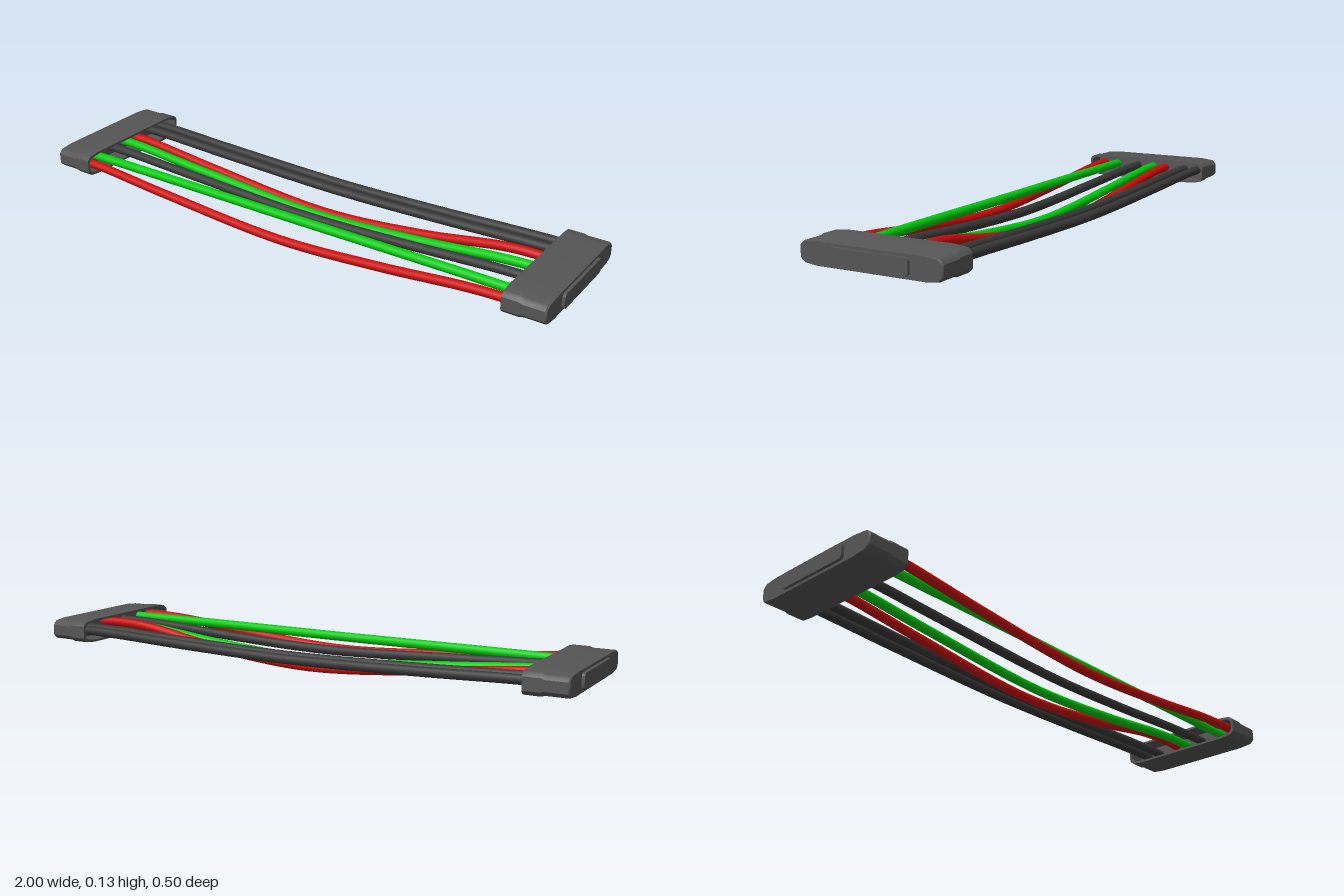
import * as THREE from 'three';
import { toCreasedNormals } from 'three/addons/utils/BufferGeometryUtils.js';

const paint = (color) => new THREE.MeshStandardMaterial({ color });
const GREY = paint(0x555555), BLACK = paint(0x383838), RED = paint(0xcc0c0c), GREEN = paint(0x00cc0c);
const MID_Y = 0.09;

// One corner of the connector outline as [half height, half width]
const corner = [[0.042, 0.19], [0.037, 0.235], [0.03, 0.244], [0.022, 0.25]];
const outline = [
  ...corner,
  ...[...corner].reverse().map(([y, z]) => [-y, z]),
  ...corner.map(([y, z]) => [-y, -z]),
  ...[...corner].reverse().map(([y, z]) => [y, -z]),
];

// Skin a closed shell through rings of [x, height inset, width inset]; null closes an end
function shellGeometry(rings) {
  const pts = rings.map(([x, dy, dz, closed]) => outline.map(([y, z]) => closed
    ? [x, 0, 0]
    : [x, y - Math.sign(y) * dy, z - Math.sign(z) * dz]));
  const pos = [];
  for (let i = 0; i < pts.length - 1; i++) {
    for (let j = 0; j < outline.length; j++) {
      const k = (j + 1) % outline.length;
      const [a, b, c, d] = [pts[i][j], pts[i + 1][j], pts[i + 1][k], pts[i][k]];
      if (!rings[i + 1][3]) pos.push(...a, ...b, ...c);
      if (!rings[i][3]) pos.push(...a, ...c, ...d);
    }
  }
  const geo = new THREE.BufferGeometry();
  geo.setAttribute('position', new THREE.Float32BufferAttribute(pos, 3));
  return toCreasedNormals(geo, 0.6);
}

// Raised plate with rounded corners on the connector's outer end
function plateGeometry(w, h, r, depth) {
  const s = new THREE.Shape();
  s.moveTo(-w + r, -h);
  s.lineTo(w - r, -h);
  s.quadraticCurveTo(w, -h, w, -h + r);
  s.lineTo(w, h - r);
  s.quadraticCurveTo(w, h, w - r, h);
  s.lineTo(-w + r, h);
  s.quadraticCurveTo(-w, h, -w, h - r);
  s.lineTo(-w, -h + r);
  s.quadraticCurveTo(-w, -h, -w + r, -h);
  return new THREE.ExtrudeGeometry(s, { depth, bevelEnabled: false, curveSegments: 4 }).rotateY(Math.PI / 2);
}

function mesh(name, geo, mat) {
  const m = new THREE.Mesh(geo, mat);
  m.name = name;
  return m;
}

// Hollow connector: closed outer end, slightly taller sleeve, recess for the wires
function connector(name) {
  const g = new THREE.Group();
  g.name = name;
  const shell = shellGeometry([
    [0.99, 0, 0, true],
    [0.99, 0.006, 0.004],
    [0.985, 0.004, 0],
    [0.91, 0.004, 0],
    [0.9, 0, 0],
    [0.842, 0, 0],
    [0.842, 0.008, 0.008],
    [0.91, 0.008, 0.008],
    [0.91, 0, 0, true],
  ]);
  const plate = mesh('endPlate', plateGeometry(0.14, 0.027, 0.016, 0.015), GREY);
  plate.position.x = 0.985;
  g.add(mesh('housing', shell, GREY), plate);
  g.position.y = MID_Y;
  return g;
}

// Each wire: z position, material and heights along its length
const stations = [-0.93, -0.82, -0.5, 0, 0.4, 0.7, 0.82, 0.93];
const wires = [
  [-0.2, BLACK, [0.09, 0.09, 0.079, 0.068, 0.076, 0.087, 0.09, 0.09]],
  [-0.145, BLACK, [0.09, 0.09, 0.079, 0.068, 0.076, 0.087, 0.09, 0.09]],
  [-0.06, RED, [0.09, 0.088, 0.056, 0.018, 0.05, 0.098, 0.104, 0.1]],
  [-0.007, GREEN, [0.09, 0.088, 0.062, 0.031, 0.052, 0.083, 0.09, 0.09]],
  [0.063, BLACK, [0.09, 0.089, 0.075, 0.057, 0.069, 0.086, 0.09, 0.09]],
  [0.157, GREEN, [0.09, 0.091, 0.091, 0.09, 0.091, 0.091, 0.09, 0.09]],
  [0.216, RED, [0.09, 0.088, 0.061, 0.031, 0.054, 0.084, 0.09, 0.09]],
];

export function createModel() {
  const model = new THREE.Group();
  model.name = 'ribbonCable';

  const left = connector('leftConnector');
  const right = connector('rightConnector');
  right.rotation.y = Math.PI;
  model.add(left, right);

  wires.forEach(([z, mat, heights], i) => {
    const path = new THREE.CatmullRomCurve3(heights.map((y, k) => new THREE.Vector3(stations[k], y, z)));
    model.add(mesh(`wire${i + 1}`, new THREE.TubeGeometry(path, 40, 0.0165, 10), mat));
  });
  return model;
}
